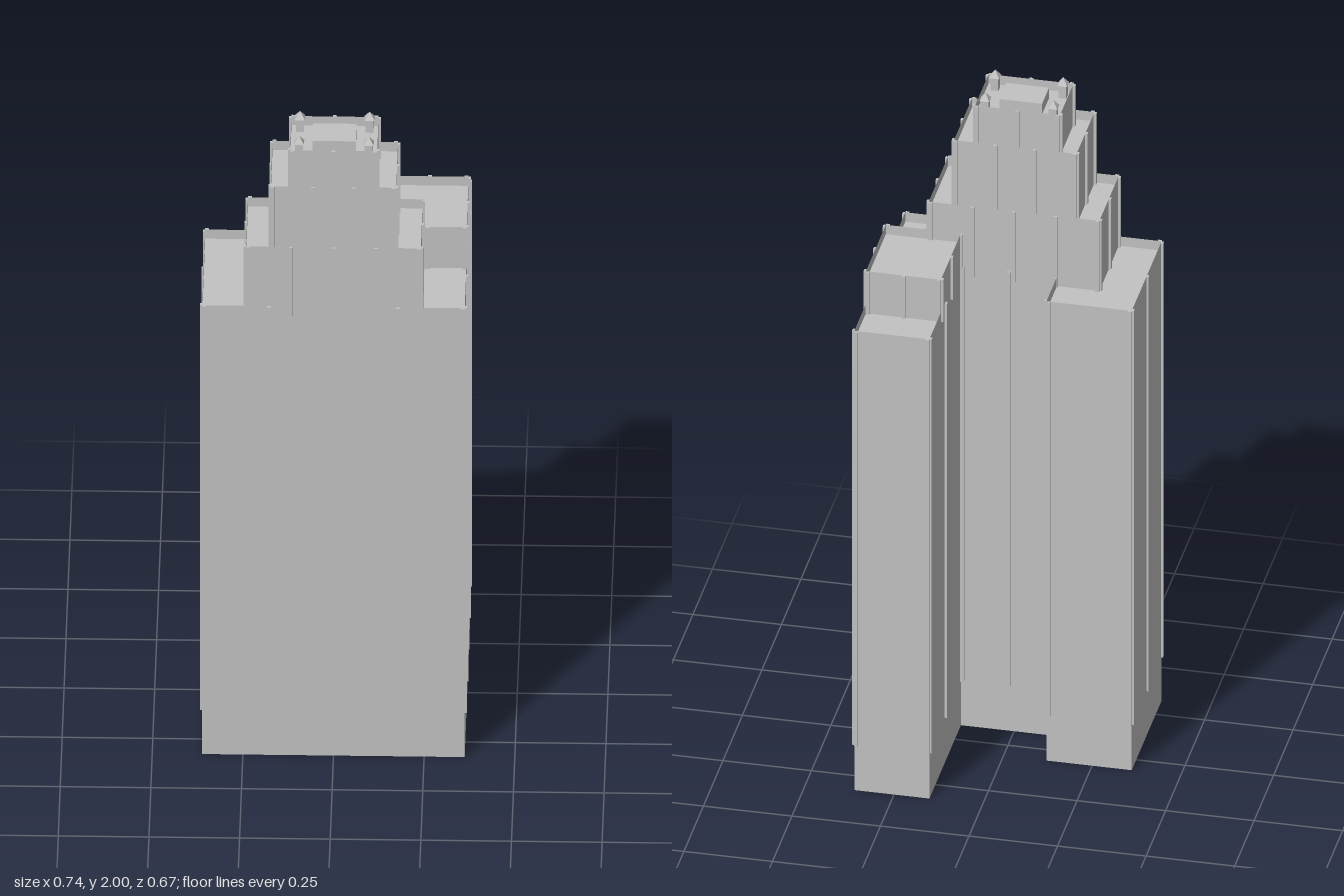
import * as THREE from 'three';

const stone = new THREE.MeshStandardMaterial({ color: 0xc2c2c2, side: THREE.DoubleSide });
stone.name = 'grey stone';

const RIB_WIDTH = 0.011, RIB_DEPTH = 0.0065, PARAPET = 0.03;

function add(parent, name, geometry, x, y, z, turn = 0) {
  const mesh = new THREE.Mesh(geometry, stone);
  mesh.name = name;
  mesh.position.set(x, y, z);
  mesh.rotation.y = turn;
  parent.add(mesh);
  return mesh;
}

// Open-bottomed block: thin walls, a roof sunk behind the parapet and evenly spaced ribs.
// Each corner is [x, z, ribs on the wall that follows], starting at the front.
function tier(name, corners, bottom, ribBottom, top) {
  const group = new THREE.Group();
  group.name = name;
  corners.forEach(([x0, z0, ribs], i) => {
    const [x1, z1] = corners[(i + 1) % corners.length];
    const dx = x1 - x0, dz = z1 - z0, length = Math.hypot(dx, dz);
    const nx = -dz / length, nz = dx / length, turn = Math.atan2(nx, nz);
    add(group, 'wall', new THREE.PlaneGeometry(length, top - bottom),
      (x0 + x1) / 2, (bottom + top) / 2, (z0 + z1) / 2, turn);
    for (let k = 0; k < ribs; k++) {
      const inset = RIB_WIDTH / 2 / length;
      const t = inset + (1 - 2 * inset) * k / (ribs - 1);
      add(group, 'rib', new THREE.BoxGeometry(RIB_WIDTH, top - ribBottom, RIB_DEPTH),
        x0 + dx * t + nx * RIB_DEPTH / 2, (ribBottom + top) / 2, z0 + dz * t + nz * RIB_DEPTH / 2, turn);
    }
  });
  const outline = new THREE.Shape(corners.map(([x, z]) => new THREE.Vector2(x, -z)));
  add(group, 'roof', new THREE.ShapeGeometry(outline).rotateX(-Math.PI / 2), 0, top - PARAPET, 0);
  return group;
}

// Corners of a rectangle with rib counts for its front, left, back and right walls
const rect = (x0, x1, zBack, zFront, [f, l, b, r]) =>
  [[x0, zFront, f], [x1, zFront, l], [x1, zBack, b], [x0, zBack, r]];

export function createModel() {
  const model = new THREE.Group();
  model.name = 'tower';
  const building = new THREE.Group();
  building.name = 'building';
  building.position.z = 0.0065;
  model.add(building);

  // U-shaped main body with two rear wings
  building.add(tier('mainBody', [
    [-0.362, 0.32, 5], [0.362, 0.32, 5], [0.362, -0.333, 2], [0.15, -0.333, 3],
    [0.15, 0.071, 3], [-0.121, 0.071, 2], [-0.121, -0.064, 2], [-0.362, -0.064, 3],
  ], 0, 0.145, 1.475));

  // Raised block on the longer wing
  building.add(tier('wingBlock', rect(0.15, 0.362, -0.185, 0.071, [3, 3, 3, 3]), 1.445, 1.445, 1.58));

  // Stepped crown
  building.add(tier('lowerCrown', rect(-0.241, 0.241, 0.071, 0.32, [5, 3, 5, 3]), 1.445, 1.445, 1.67));
  building.add(tier('middleCrown', rect(-0.173, 0.173, 0.087, 0.318, [4, 3, 4, 3]), 1.64, 1.64, 1.867));
  building.add(tier('upperCrown', rect(-0.12, 0.12, 0.116, 0.289, [3, 2, 3, 2]), 1.837, 1.837, 1.968));

  // Roof house and corner finials
  add(building, 'roofHouse', new THREE.BoxGeometry(0.12, 0.034, 0.089), 0, 1.955, 0.2025);
  const cap = new THREE.ConeGeometry(0.014 * Math.SQRT2, 0.022, 4, 1).rotateY(Math.PI / 4).toNonIndexed();
  cap.computeVertexNormals();
  for (const x of [-0.096, 0.096]) {
    for (const z of [0.139, 0.265]) {
      add(building, 'finialPost', new THREE.BoxGeometry(0.022, 0.04, 0.022), x, 1.958, z);
      add(building, 'finialCap', cap, x, 1.989, z);
    }
  }
  return model;
}
